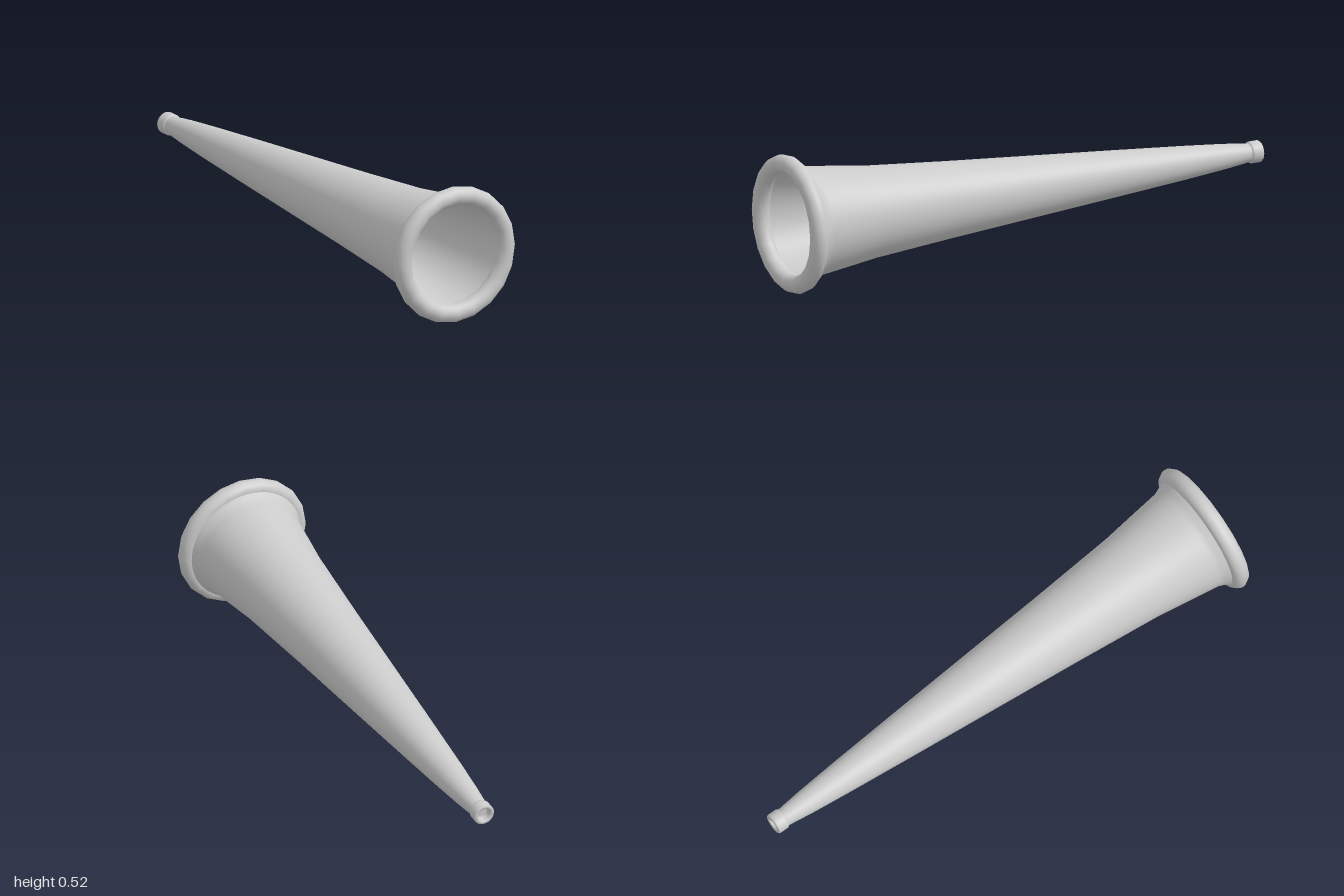
import * as THREE from 'three';

const AXIS_Y = 0.26;

// Revolves [radius, z] points around the horn's long axis
function turned(name, points, material, segments = 64) {
  const geometry = new THREE.LatheGeometry(points.map(([r, z]) => new THREE.Vector2(r, z)), segments);
  geometry.rotateX(Math.PI / 2);
  const mesh = new THREE.Mesh(geometry, material);
  mesh.name = name;
  return mesh;
}

export function createModel() {
  const horn = new THREE.Group();
  horn.name = 'horn';
  const material = new THREE.MeshStandardMaterial({ color: 0xcccccc, side: THREE.DoubleSide });

  // Long tapering tube that flares at the mouth
  horn.add(turned('tube', [
    [0.034, -0.96], [0.047, -0.85], [0.061, -0.7], [0.086, -0.4], [0.118, 0],
    [0.142, 0.3], [0.172, 0.64], [0.19, 0.77], [0.206, 0.89], [0.214, 0.91], [0.226, 0.935],
  ], material));

  // Inner wall, narrowing to a point
  horn.add(turned('bore', [
    [0.205, 0.965], [0.195, 0.88], [0.161, 0.64], [0.097, 0], [0.022, -0.88], [0, -0.9],
  ], material));

  // Rolled rim at the mouth
  const rim = new THREE.Mesh(new THREE.TorusGeometry(0.226, 0.034, 16, 20), material);
  rim.name = 'rim';
  rim.position.z = 0.966;
  horn.add(rim);

  // Collar with a shallow recess at the narrow end
  horn.add(turned('mouthpieceCollar', [
    [0.024, -0.96], [0.024, -0.992], [0.028, -1], [0.037, -1], [0.041, -0.995],
    [0.041, -0.96], [0.038, -0.953], [0.032, -0.952],
  ], material, 32));
  horn.add(turned('mouthpieceFloor', [[0, -0.97], [0.025, -0.97]], material, 32));

  horn.position.y = AXIS_Y;
  const model = new THREE.Group();
  model.add(horn);
  return model;
}
